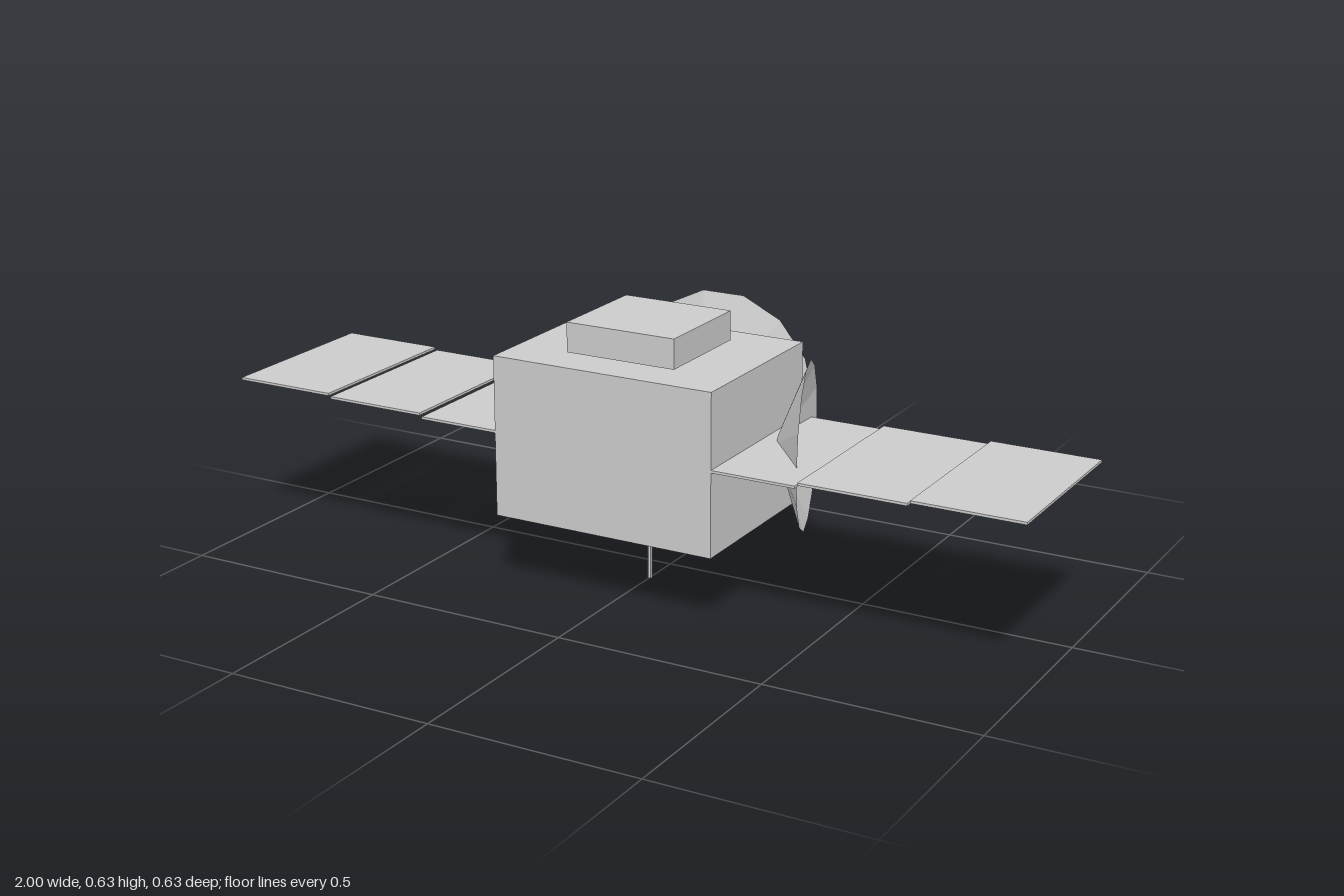
import * as THREE from 'three';

const material = new THREE.MeshStandardMaterial({ color: 0xcccccc, flatShading: true });
const thinMaterial = new THREE.MeshStandardMaterial({ color: 0xcccccc, flatShading: true, side: THREE.DoubleSide });

// Box given by its minimum and maximum corners
function box(name, [x0, y0, z0], [x1, y1, z1]) {
  const mesh = new THREE.Mesh(new THREE.BoxGeometry(x1 - x0, y1 - y0, z1 - z0), material);
  mesh.position.set((x0 + x1) / 2, (y0 + y1) / 2, (z0 + z1) / 2);
  mesh.name = name;
  return mesh;
}

// Fourteen-sided dish opening toward +z, hub at the origin, with a feed rod
function dish(name, scale) {
  const group = new THREE.Group();
  group.name = name;
  const profile = [[0, 0], [0.028, 0], [0.243, 0.082]].map(([r, h]) => new THREE.Vector2(r, h));
  const bowl = new THREE.Mesh(
    new THREE.LatheGeometry(profile, 14, Math.PI / 2).rotateX(Math.PI / 2), thinMaterial);
  bowl.name = 'bowl';
  const feed = new THREE.Mesh(
    new THREE.CylinderGeometry(0.006, 0.006, 0.141, 8).rotateX(Math.PI / 2), material);
  feed.position.z = 0.0705;
  feed.name = 'feedRod';
  group.add(bowl, feed);
  group.scale.setScalar(scale);
  return group;
}

export function createModel() {
  const model = new THREE.Group();
  model.name = 'satellite';

  // Main body and the equipment box above it
  model.add(box('body', [-0.277, 0.175, -0.123], [0.277, 0.555, 0.315]));
  model.add(box('topBox', [-0.137, 0.561, -0.035], [0.137, 0.631, 0.228]));

  // Solar wings: three slightly stepped panels per side
  const panels = [[0.26, 0.478, 0.373], [0.484, 0.737, 0.381], [0.743, 1, 0.388]];
  for (const side of [1, -1]) {
    const wing = new THREE.Group();
    wing.name = side > 0 ? 'leftSolarWing' : 'rightSolarWing';
    for (const [inner, outer, y] of panels) {
      const panel = box('solarPanel', [inner, y, -0.123], [outer, y + 0.006, 0.315]);
      panel.position.x *= side;
      wing.add(panel);
    }
    model.add(wing);
  }

  // Large dish at the back, smaller one turned outward on the left
  const rearDish = dish('rearDish', 1);
  rearDish.position.set(0, 0.365, -0.174);
  rearDish.rotation.y = Math.PI;
  const sideDish = dish('sideDish', 0.8);
  sideDish.position.set(0.305, 0.365, 0.051);
  sideDish.rotation.y = Math.atan2(0.943, -0.333);
  model.add(rearDish, sideDish);

  // Rod antenna below the body
  const antenna = new THREE.Mesh(new THREE.CylinderGeometry(0.006, 0.006, 0.18, 8), material);
  antenna.position.set(0, 0.09, 0.097);
  antenna.name = 'antenna';
  model.add(antenna);

  return model;
}
